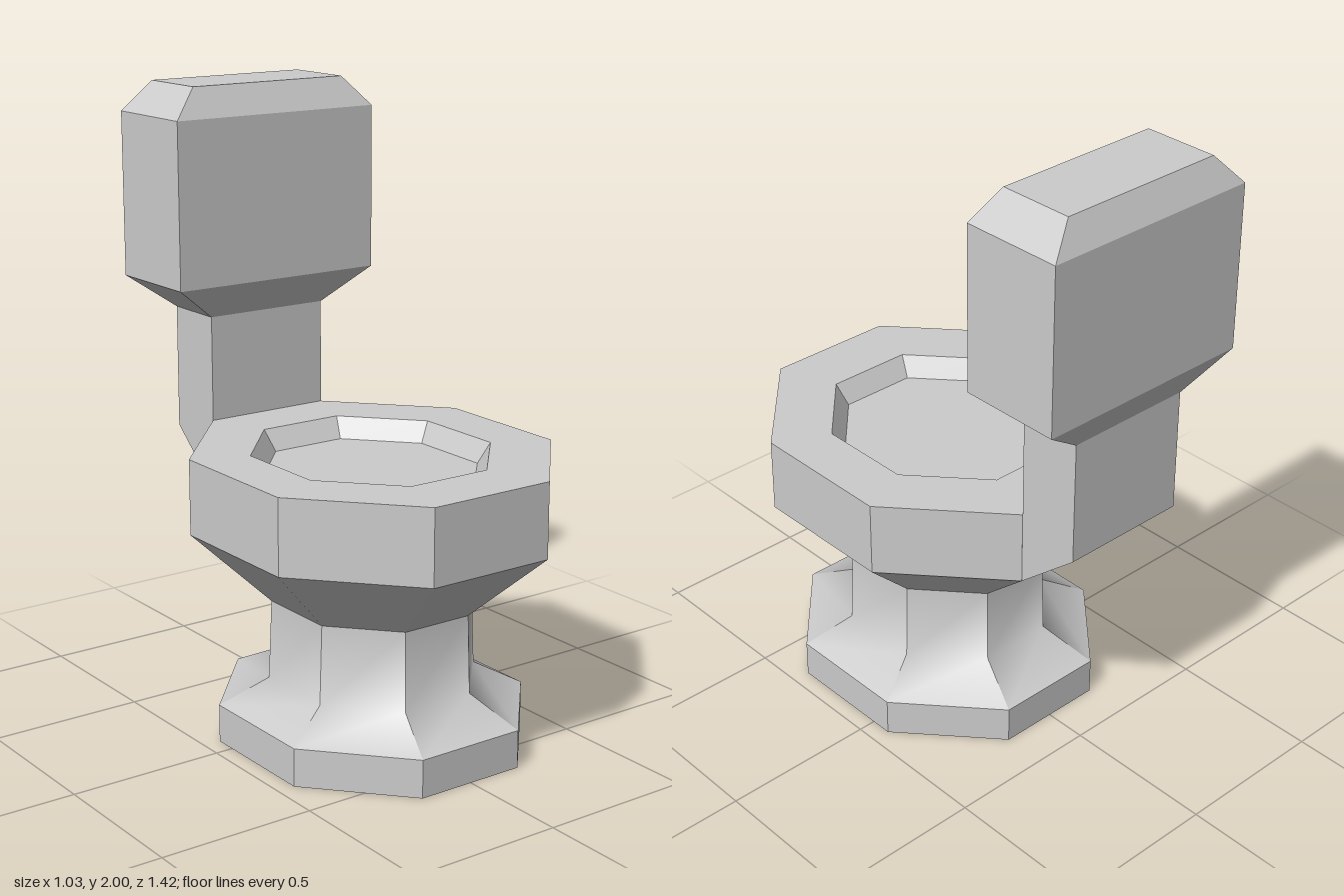
import * as THREE from 'three';
import { mergeGeometries } from 'three/addons/utils/BufferGeometryUtils.js';

const material = new THREE.MeshStandardMaterial({ color: 0xcccccc });

// Horizontal octagon with half sizes rx, rz, centred at depth z
function octagon(y, rx, rz, z = 0.135) {
  const k = 0.414;
  return [[-k, 1], [k, 1], [1, k], [1, -k], [k, -1], [-k, -1], [-1, -k], [-1, k]]
    .map(([a, b]) => [a * rx, y, z + b * rz]);
}

// Horizontal rectangle from zBack to zFront
function rectangle(y, rx, zBack, zFront) {
  return [[-rx, y, zFront], [rx, y, zFront], [rx, y, zBack], [-rx, y, zBack]];
}

function indexed(points, index) {
  const geometry = new THREE.BufferGeometry();
  geometry.setAttribute('position', new THREE.Float32BufferAttribute(points.flat(), 3));
  geometry.setIndex(index);
  return geometry;
}

// Flat polygon closing a ring
function cap(ring, up) {
  const index = [];
  for (let i = 1; i < ring.length - 1; i++) index.push(0, ...(up ? [i, i + 1] : [i + 1, i]));
  return indexed(ring, index);
}

// Skin through rings; each side is one panel, smooth along its height if asked
function loft(rings, { bottom = false, top = false, smooth = false } = {}) {
  const n = rings[0].length, parts = [];
  for (let i = 0; i < n; i++) {
    const points = [], index = [];
    rings.forEach((ring, r) => {
      points.push(ring[i], ring[(i + 1) % n]);
      if (r > 0) {
        const a = 2 * r - 2;
        index.push(a, a + 1, a + 3, a, a + 3, a + 2);
      }
    });
    parts.push(indexed(points, index));
  }
  if (bottom) parts.push(cap(rings[0], false));
  if (top) parts.push(cap(rings[rings.length - 1], true));
  return mergeGeometries(parts.map((part) => {
    const geometry = smooth ? part : part.toNonIndexed();
    geometry.computeVertexNormals();
    return geometry;
  }));
}

export function createModel() {
  const model = new THREE.Group();
  model.name = 'toilet';
  const add = (name, geometry) => {
    const mesh = new THREE.Mesh(geometry, material);
    mesh.name = name;
    model.add(mesh);
  };

  // Foot slab
  add('foot', loft([octagon(0, 0.443, 0.495), octagon(0.122, 0.443, 0.495)], { bottom: true }));

  // Flared column, softly shaded from foot to bowl
  add('pedestal', loft([
    octagon(0.122, 0.443, 0.495),
    octagon(0.203, 0.3, 0.332),
    octagon(0.455, 0.29, 0.325),
  ], { smooth: true }));

  // Bowl: underside, rim wall, rim top, recess wall and recess floor
  add('bowl', loft([
    octagon(0.455, 0.29, 0.325),
    octagon(0.685, 0.515, 0.575),
    octagon(0.925, 0.515, 0.575),
    octagon(0.925, 0.342, 0.381, 0.129),
    octagon(0.86, 0.305, 0.339, 0.129),
  ], { top: true }));

  // Neck: side profile extruded across the width
  const profile = new THREE.Shape([[0.44, 0.685], [0.65, 0.865], [0.65, 1.265], [0.44, 1.265]]
    .map(([x, y]) => new THREE.Vector2(x, y)));
  const neck = new THREE.ExtrudeGeometry(profile, { depth: 0.426, bevelEnabled: false });
  neck.translate(0, 0, -0.213).rotateY(Math.PI / 2);
  add('neck', neck);

  // Tank with tapered bottom and bevelled lid
  add('tank', loft([
    rectangle(1.265, 0.213, -0.65, -0.44),
    rectangle(1.377, 0.368, -0.707, -0.37),
    rectangle(1.905, 0.368, -0.707, -0.37),
    rectangle(2, 0.28, -0.662, -0.417),
  ], { top: true }));

  return model;
}
